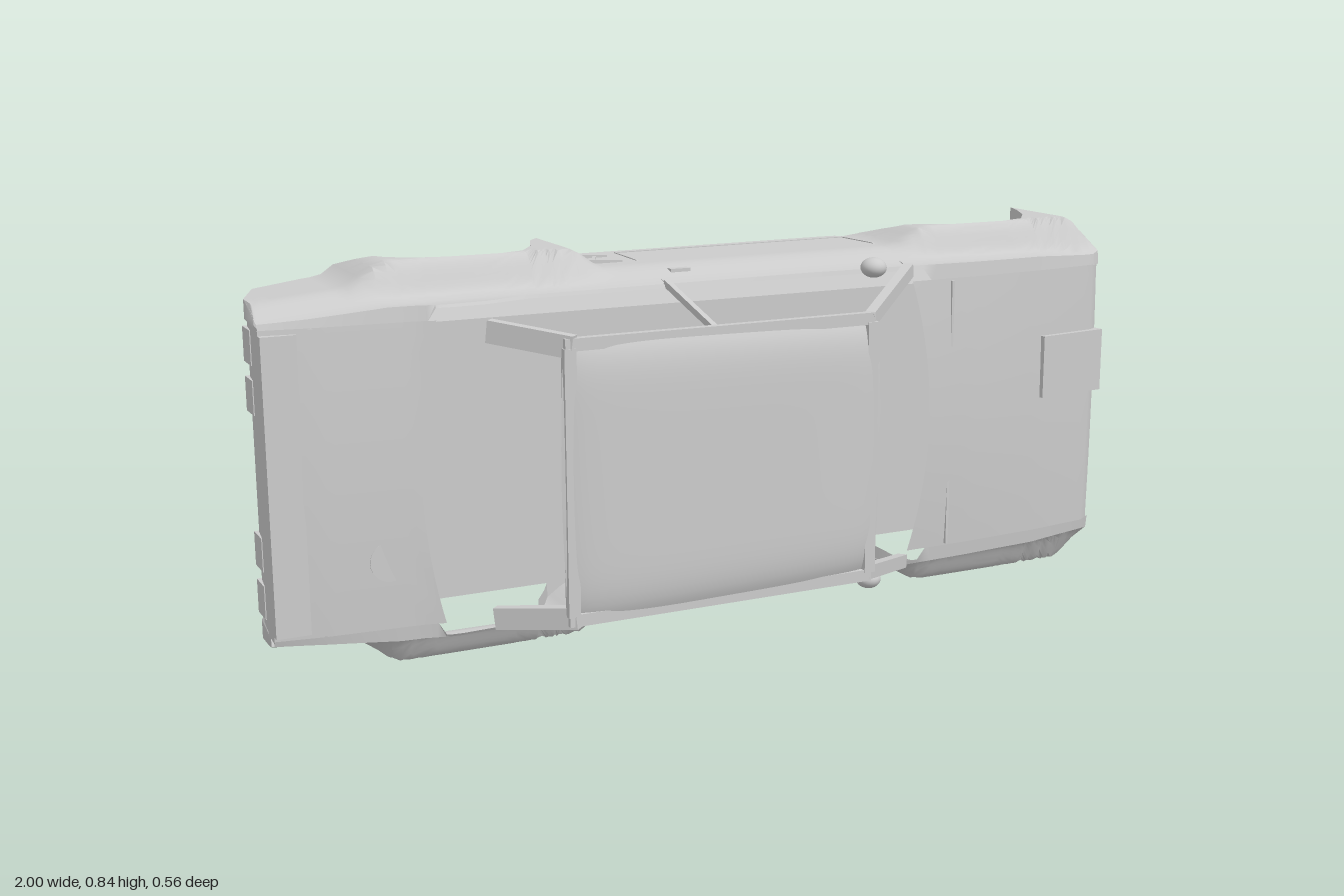
import * as THREE from 'three';
import { toCreasedNormals } from 'three/addons/utils/BufferGeometryUtils.js';

// The car lies on its side: nose to +x, roof to +z, width along y around MID.
const MID = 0.418;
const mat = new THREE.MeshStandardMaterial({ color: 0xcccccc, side: THREE.DoubleSide });

// linear interpolation through [x, value] points
function along(points, x) {
  if (x <= points[0][0]) return points[0][1];
  for (let i = 1; i < points.length; i++) {
    const [x0, a] = points[i - 1], [x1, b] = points[i];
    if (x <= x1) return a + (b - a) * (x - x0) / (x1 - x0);
  }
  return points[points.length - 1][1];
}

// surface from a rule fn(column, row) -> [x, y, z]
function patch(columns, rows, fn, crease = 0.6) {
  const pos = [], index = [];
  for (let i = 0; i <= columns; i++)
    for (let j = 0; j <= rows; j++) {
      pos.push(...fn(i, j));
      if (i < columns && j < rows) {
        const a = i * (rows + 1) + j, b = a + rows + 1;
        index.push(a, b, a + 1, b, b + 1, a + 1);
      }
    }
  const g = new THREE.BufferGeometry();
  g.setAttribute('position', new THREE.Float32BufferAttribute(pos, 3));
  g.setIndex(index);
  return toCreasedNormals(g, crease);
}

// lower edge with wheel arches, belt line, and body half width
const LOWER = [[-1, -0.08], [-0.99, -0.2], [-0.95, -0.3], [-0.84, -0.33], [-0.775, -0.33],
  [-0.75, -0.25], [-0.71, -0.17], [-0.66, -0.135], [-0.6, -0.125], [-0.48, -0.125], [-0.43, -0.14],
  [-0.39, -0.2], [-0.36, -0.28], [-0.31, -0.355], [0.43, -0.355], [0.47, -0.31], [0.51, -0.2],
  [0.55, -0.145], [0.6, -0.125], [0.75, -0.125], [0.81, -0.145], [0.86, -0.21], [0.9, -0.29],
  [0.92, -0.345], [0.94, -0.335], [0.97, -0.2], [0.99, -0.1]];
const BELT = [[-1, -0.055], [-0.9, -0.04], [-0.7, -0.025], [-0.64, -0.01], [-0.55, -0.015],
  [-0.46, -0.042], [0.2, -0.04], [0.4, -0.03], [0.6, -0.033], [0.8, -0.045], [0.96, -0.065], [0.99, -0.085]];
const WIDTH = [[-1, 0.318], [-0.75, 0.34], [-0.3, 0.342], [0.4, 0.345], [0.8, 0.34], [0.99, 0.325]];
const flareAt = (x, centre) => 1 - THREE.MathUtils.smoothstep(Math.abs(x - centre), 0.19, 0.285);

function halfWidth(x, z) {
  const base = along(WIDTH, x) + 0.03 * THREE.MathUtils.smoothstep(-z, 0.03, 0.15);
  const flare = Math.max(flareAt(x, 0.725), flareAt(x, -0.53));
  const t = flare * THREE.MathUtils.smoothstep(-z, 0.075, 0.128);
  return base + (0.418 - base) * t;
}

export function createModel() {
  const car = new THREE.Group();
  const add = (name, geo, x = 0, y = 0, z = 0, parent = car) => {
    const m = new THREE.Mesh(geo, mat);
    m.name = name;
    m.position.set(x, y, z);
    parent.add(m);
    return m;
  };
  const box = (name, x, y, z, w, h, d) => add(name, new THREE.BoxGeometry(w, h, d), x, y, z);
  // straight bar between two points
  const bar = (name, a, b, w, d) => {
    const p = new THREE.Vector3(...a), q = new THREE.Vector3(...b);
    const m = add(name, new THREE.BoxGeometry(w, d, p.distanceTo(q)));
    m.position.copy(p).add(q).multiplyScalar(0.5);
    m.lookAt(q);
    return m;
  };

  // floor block between the sides
  box('floorBlock', 0, MID, -0.22, 1.68, 0.58, 0.22);

  // columns of the side shell: even steps plus every corner of the lower edge
  const xs = LOWER.map(p => p[0]);
  for (let i = 0; i <= 80; i++) xs.push(-1 + 1.99 * i / 80);
  xs.sort((a, b) => a - b);
  const ROWS = 18;

  for (const s of [1, -1]) {
    const Y = h => MID + s * h;
    const side = s > 0 ? 'left' : 'right';

    // side shell, with a lip folded in at both edges
    add(side + 'SidePanel', patch(xs.length - 1, ROWS + 2, (i, j) => {
      const x = xs[i], lo = along(LOWER, x), hi = along(BELT, x);
      const k = THREE.MathUtils.clamp((j - 1) / ROWS, 0, 1);
      const z = lo + (hi - lo) * k;
      let h = halfWidth(x, z);
      if (j === 0) h = x > 0.925 || x < -0.82 ? 0.31 : h - 0.035;
      if (j === ROWS + 2) h = x > 0.47 || x < -0.66 ? 0.308 : 0.335;
      return [x, Y(h), z + (j === ROWS + 2 ? 0.004 : 0)];
    }));

    // roof posts
    bar(side + 'FrontPillar', [0.21, Y(0.272), 0.175], [0.435, Y(0.335), -0.035], 0.022, 0.03);
    bar(side + 'MiddlePillar', [-0.14, Y(0.277), 0.175], [-0.15, Y(0.345), -0.045], 0.012, 0.014);
    bar(side + 'RearPillar', [-0.45, Y(0.272), 0.18], [-0.575, Y(0.293), 0.05], 0.022, 0.045);
    bar(side + 'RoofRail', [-0.47, Y(0.277), 0.177], [0.22, Y(0.277), 0.175], 0.018, 0.025);

    // mirror and its stalk
    const mirror = add(side + 'Mirror', new THREE.SphereGeometry(1, 20, 14), 0.325, Y(0.352), -0.002);
    mirror.scale.set(0.028, 0.022, 0.03);
    bar(side + 'MirrorStalk', [0.335, Y(0.35), -0.005], [0.36, Y(0.335), -0.04], 0.012, 0.012);

    // door handle, door gaps and slanted vent
    box(side + 'DoorHandle', -0.095, Y(halfWidth(-0.095, -0.1)), -0.1, 0.045, 0.008, 0.018);
    const surf = (x, z) => [x, Y(halfWidth(x, z)), z];
    const seam = [[0.43, -0.045], [0.44, -0.2], [0.43, -0.32], [-0.145, -0.325], [-0.15, -0.2], [-0.15, -0.045]];
    for (let i = 1; i < seam.length; i++) bar(side + 'DoorSeam', surf(...seam[i - 1]), surf(...seam[i]), 0.004, 0.004);
    for (const z of [-0.28, -0.195]) bar(side + 'Vent', surf(-0.265, z), surf(-0.185, z), 0.008, 0.008);
    bar(side + 'Vent', surf(-0.25, -0.2), surf(-0.215, -0.275), 0.008, 0.008);

    // front lamps: [half width, z, radius, face x, depth]
    for (const [h, z, r, x, d] of [[0.268, -0.148, 0.036, 0.965, 0.02], [0.18, -0.15, 0.043, 0.965, 0.02],
      [0.242, -0.264, 0.039, 0.985, 0.03], [0.137, -0.248, 0.039, 0.975, 0.03], [0.288, -0.223, 0.016, 0.965, 0.02]]) {
      const lamp = new THREE.Group();
      lamp.name = side + 'FrontLamp';
      lamp.position.set(x, Y(h), z);
      car.add(lamp);
      const lens = new THREE.LatheGeometry([[0, -d], [r * 0.7, -d], [r, -d * 0.4], [r, 0], [r * 0.6, 0.008], [0, 0.011]]
        .map(p => new THREE.Vector2(...p)), 32).rotateZ(-Math.PI / 2);
      add('lens', toCreasedNormals(lens, 0.6), 0, 0, 0, lamp);
      if (d > 0.025) add('lampRim', new THREE.TorusGeometry(r, 0.004, 8, 32).rotateY(Math.PI / 2), 0, 0, 0, lamp);
    }
    box(side + 'LampBracket', 0.95, Y(0.24), -0.225, 0.012, 0.03, 0.07);

    // rear lamps set on the tail panel
    for (const h of [0.26, 0.16]) box(side + 'RearLamp', -0.987, Y(h), -0.18, 0.012, 0.07, 0.06);
  }

  // roof, rolled down at all edges
  add('roof', patch(32, 32, (i, j) => {
    const u = i / 16 - 1, v = j / 16 - 1;
    const x = -0.12 + u * (0.36 - 0.012 * v * v);
    return [x, MID + v * (0.282 - 0.008 * u), 0.202 - 0.012 * u * u * u * u - 0.022 * v ** 8 - 0.012 * u ** 12];
  }));
  for (const x of [-0.46, 0.215]) box('roofHeader', x, MID, 0.178, 0.025, 0.54, 0.018);

  // bonnet with cowl: curved rear edge, folded down at the nose
  add('bonnet', patch(26, 20, (i, j) => {
    const v = j / 10 - 1, x0 = 0.487 - 0.045 * v * v, crown = 0.012 * (1 - v * v);
    if (i > 24) return [i === 25 ? 0.988 : 0.982, MID + v * 0.31, i === 25 ? -0.085 : -0.108];
    const x = x0 + (0.978 - x0) * i / 24;
    return [x, MID + v * 0.31, along(BELT, x) + 0.004 + crown * (1 - i / 40)];
  }));
  bar('bonnetSeam', [0.545, MID - 0.305, -0.026], [0.545, MID + 0.305, -0.026], 0.006, 0.012);
  // raised air intake
  const scoop = bar('bonnetScoop', [0.8, MID + 0.085, -0.036], [0.982, MID + 0.085, -0.058], 0.145, 0.02);
  scoop.rotation.set(0, 0.12, 0);
  scoop.geometry = new THREE.BoxGeometry(0.182, 0.145, 0.025);

  // boot lid, curved towards the rear window
  add('bootLid', patch(16, 20, (i, j) => {
    const v = j / 10 - 1, x1 = -0.7 + 0.04 * v * v;
    const x = -1 + (x1 + 1) * i / 16;
    return [x, MID + v * 0.31, along(BELT, x) + 0.004 + 0.008 * (1 - v * v)];
  }));
  box('bootLip', -0.965, MID, -0.043, 0.07, 0.6, 0.02);
  // filler cap on the boot lid
  add('fillerCap', new THREE.CylinderGeometry(0.042, 0.042, 0.008, 24).rotateX(Math.PI / 2), -0.768, 0.25, -0.025);

  // tail panel
  const TAIL = [[-1, -0.05], [-0.997, -0.1], [-0.985, -0.2], [-0.95, -0.3], [-0.93, -0.305]];
  add('tailPanel', patch(4, 1, (i, j) => [TAIL[i][0], MID + (j ? 0.315 : -0.315), TAIL[i][1]]));

  // centre bar between the front lamps
  box('grilleBar', 0.955, MID, -0.252, 0.015, 0.18, 0.034);
  return car;
}
